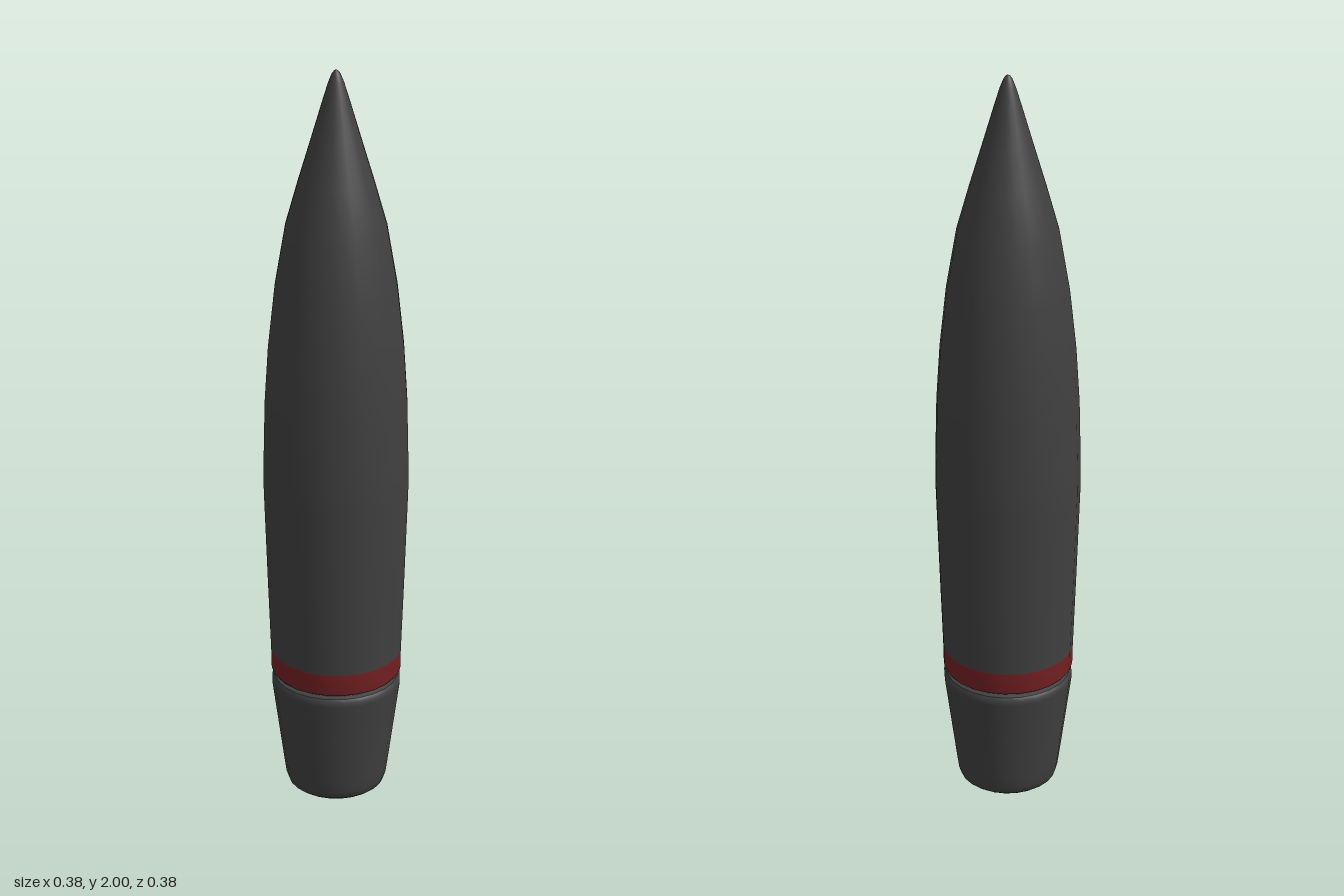
import * as THREE from 'three';

const SIDES = 24;

export function createModel() {
  const group = new THREE.Group();
  const darkGrey = new THREE.MeshStandardMaterial({ color: 0x404040 });
  darkGrey.name = 'dark grey';
  const darkRed = new THREE.MeshStandardMaterial({ color: 0x742023 });
  darkRed.name = 'dark red';

  // Turns a [radius, height] profile, listed from bottom to top
  function turned(name, material, profile) {
    const points = profile.map(([r, y]) => new THREE.Vector2(r, y));
    const mesh = new THREE.Mesh(new THREE.LatheGeometry(points, SIDES), material);
    mesh.name = name;
    group.add(mesh);
  }

  // Tapered tail with a rounded foot and shoulder
  turned('tailBase', darkGrey, [[0, 0], [0.1, 0.002], [0.118, 0.006]]);
  turned('tail', darkGrey, [
    [0.118, 0.006], [0.13, 0.015], [0.137, 0.035], [0.142, 0.07],
    [0.174, 0.315], [0.174, 0.328], [0.168, 0.337],
  ]);

  // Narrow groove between tail and band
  turned('grooveFloor', darkGrey, [[0.168, 0.337], [0.155, 0.341]]);
  turned('groove', darkGrey, [[0.155, 0.341], [0.155, 0.347]]);
  turned('grooveRoof', darkGrey, [[0.155, 0.347], [0.169, 0.349]]);

  // Coloured band
  turned('band', darkRed, [[0.169, 0.349], [0.175, 0.357], [0.176, 0.412]]);

  // Body and long pointed nose with a small rounded tip
  turned('body', darkGrey, [
    [0.176, 0.412], [0.183, 0.62], [0.191, 0.88], [0.191, 0.95],
    [0.186, 1.13], [0.176, 1.28], [0.158, 1.44], [0.13, 1.6],
    [0.097, 1.715], [0.065, 1.82], [0.035, 1.92], [0.02, 1.968],
    [0.011, 1.99], [0.005, 1.998], [0, 2],
  ]);

  return group;
}
